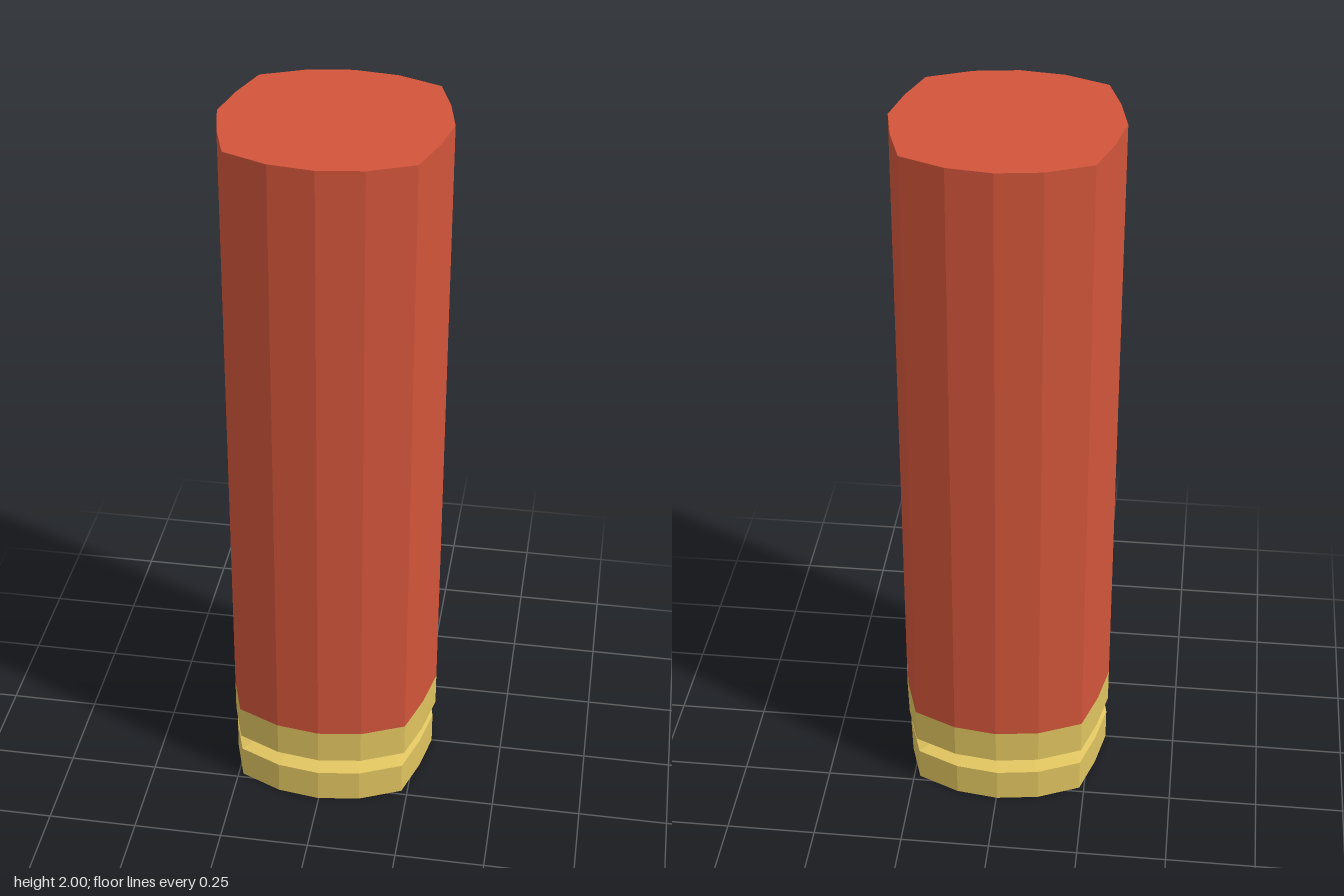
import * as THREE from 'three';

// One quadrant of the squared-off round outline, [x, z]
const QUADRANT = [[0.301, 0], [0.277, 0.12], [0.239, 0.239], [0.12, 0.292]];
const FRONT = [0, 0.309];

// Full 16-point outline, running from +x towards +z
function outline() {
  const q = [...QUADRANT, FRONT];
  const back = QUADRANT.slice().reverse().map(([x, z]) => [-x, z]);
  const half = [...q, ...back];
  const other = half.slice(1, -1).reverse().map(([x, z]) => [x, -z]);
  return [...half, ...other];
}

// Stack of scaled outlines; rings are [y, scale], a scale of 0 closes an end
function loft(rings) {
  const pts = outline(), n = pts.length, pos = [], idx = [];
  for (const [y, s] of rings) for (const [x, z] of pts) pos.push(x * s, y, z * s);
  for (let r = 0; r < rings.length - 1; r++) {
    for (let i = 0; i < n; i++) {
      const j = (i + 1) % n;
      const a = r * n + i, b = r * n + j, c = a + n, d = b + n;
      if (rings[r][1] > 0) idx.push(a, c, b);
      if (rings[r + 1][1] > 0) idx.push(b, c, d);
    }
  }
  const geo = new THREE.BufferGeometry();
  geo.setAttribute('position', new THREE.Float32BufferAttribute(pos, 3));
  geo.setIndex(idx);
  const flat = geo.toNonIndexed();
  flat.computeVertexNormals();
  return flat;
}

function part(name, rings, color) {
  const mesh = new THREE.Mesh(loft(rings), new THREE.MeshStandardMaterial({ color, flatShading: true }));
  mesh.name = name;
  return mesh;
}

export function createModel() {
  const group = new THREE.Group();
  group.name = 'cartridge';
  const brass = 0xe0c460, red = 0xd2553a;

  // Base rim with bevelled shoulder, groove, and collar
  const rim = part('rim', [[0, 0], [0, 0.982], [0.097, 0.982], [0.113, 0.79]], brass);
  rim.position.set(-0.002, 0, 0.001);
  group.add(rim);
  group.add(part('groove', [[0.105, 0.795], [0.15, 0.795]], brass));
  group.add(part('collar', [[0.15, 0.79], [0.15, 1], [0.25, 1]], brass));

  // Long tube closed by a flat top
  group.add(part('tube', [[0.25, 1], [2, 1], [2, 0]], red));
  return group;
}
